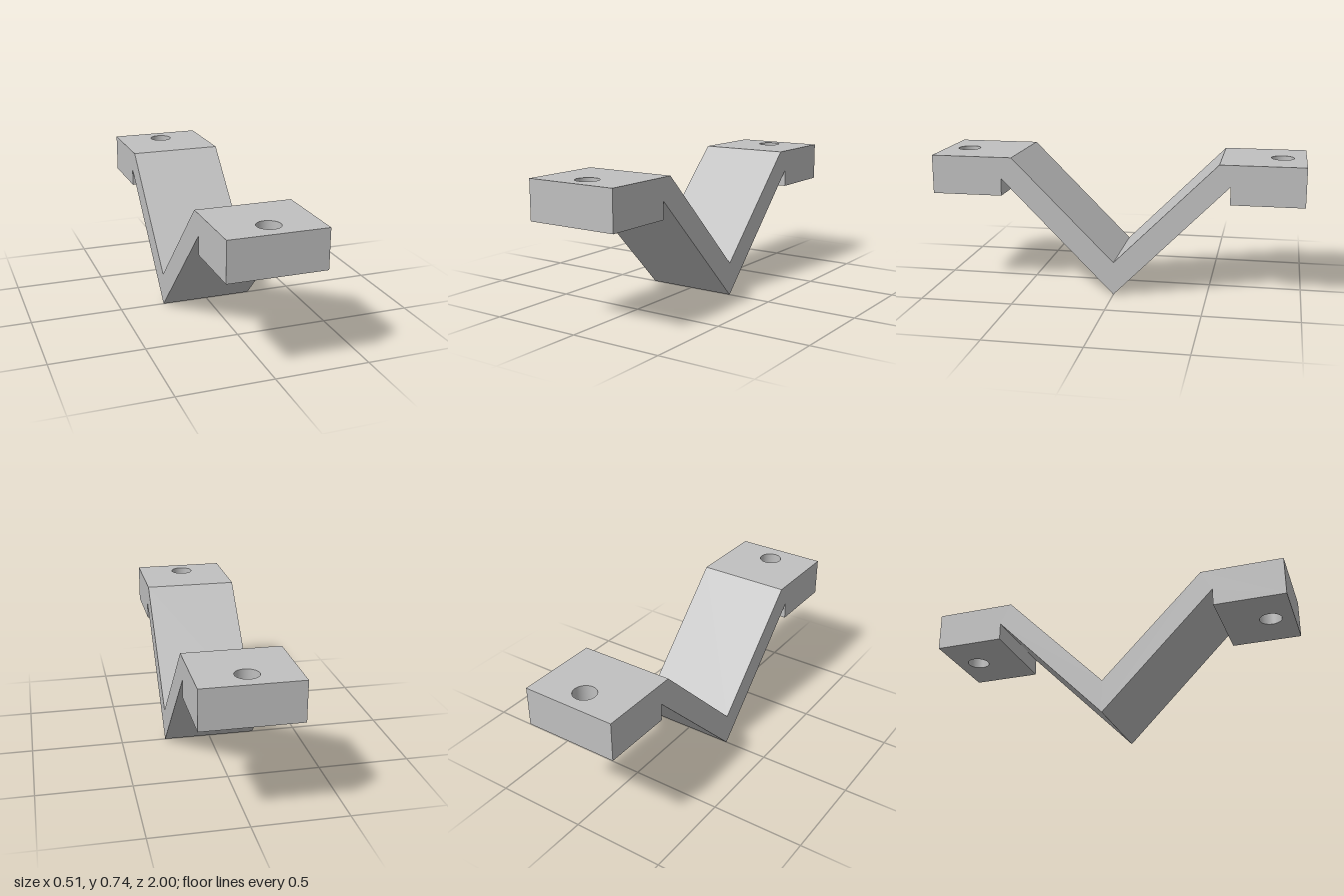
import * as THREE from 'three';

const HALF_W = 0.255;              // half the strap width
const TOP = 0.735, PAD_Y = 0.525;  // pad top and underside
const PAD_IN = 0.615, BEND = 0.555, VALLEY = 0.18;
const HOLE_AT = 0.874, HOLE_R = 0.061;

export function createModel() {
  const group = new THREE.Group();
  const grey = new THREE.MeshStandardMaterial({ color: 0xc0c0c0 });
  grey.name = 'plain grey';

  const add = (name, geometry) => {
    const mesh = new THREE.Mesh(geometry, grey);
    mesh.name = name;
    group.add(mesh);
    return mesh;
  };

  // Side outline (length, height), counter-clockwise from the bottom of the V
  const outline = [
    [0, 0], [PAD_IN, 0.62], [PAD_IN, PAD_Y], [1, PAD_Y], [1, TOP], [BEND, TOP],
    [0, VALLEY],
    [-BEND, TOP], [-1, TOP], [-1, PAD_Y], [-PAD_IN, PAD_Y], [-PAD_IN, 0.62],
  ];

  // Flat cheeks on both sides
  const profile = new THREE.Shape(outline.map(([u, y]) => new THREE.Vector2(u, y)));
  for (const side of [1, -1]) {
    const cheek = new THREE.ShapeGeometry(profile);
    if (side < 0) cheek.rotateY(Math.PI);
    cheek.translate(0, 0, side * HALF_W);
    add(side > 0 ? 'leftCheek' : 'rightCheek', cheek);
  }

  // Walls across the strap; the level pad faces are made separately
  const walls = [];
  outline.forEach(([u0, y0], i) => {
    const [u1, y1] = outline[(i + 1) % outline.length];
    if (y0 === y1) return;
    const a = [u0, y0, -HALF_W], b = [u1, y1, -HALF_W];
    const c = [u1, y1, HALF_W], d = [u0, y0, HALF_W];
    walls.push(...a, ...b, ...c, ...a, ...c, ...d);
  });
  const strap = new THREE.BufferGeometry();
  strap.setAttribute('position', new THREE.Float32BufferAttribute(walls, 3));
  strap.computeVertexNormals();
  add('bentStrapWalls', strap);

  // Level pad face from inner edge to the end, pierced by the bolt hole
  const padFace = (dir, inner, y, up) => {
    const [lo, hi] = [dir * inner, dir].sort((p, q) => p - q);
    const shape = new THREE.Shape();
    shape.moveTo(lo, -HALF_W).lineTo(hi, -HALF_W).lineTo(hi, HALF_W).lineTo(lo, HALF_W).closePath();
    const hole = new THREE.Path();
    hole.absarc(dir * HOLE_AT, 0, HOLE_R, 0, Math.PI * 2, true);
    shape.holes.push(hole);
    return new THREE.ShapeGeometry(shape, 24)
      .rotateX(up ? -Math.PI / 2 : Math.PI / 2).translate(0, y, 0);
  };

  for (const dir of [1, -1]) {
    const end = dir > 0 ? 'back' : 'front';
    add(end + 'PadTop', padFace(dir, BEND, TOP, true));
    add(end + 'PadUnderside', padFace(dir, PAD_IN, PAD_Y, false));
    // Bore wall, running downward so that it faces inward
    const bore = new THREE.LatheGeometry(
      [new THREE.Vector2(HOLE_R, TOP), new THREE.Vector2(HOLE_R, PAD_Y)], 48);
    add(end + 'BoltHole', bore.translate(dir * HOLE_AT, 0, 0));
  }

  // Turn the length of the strap along z
  for (const mesh of group.children) mesh.geometry.rotateY(Math.PI / 2);
  group.name = 'vBracket';
  return group;
}
